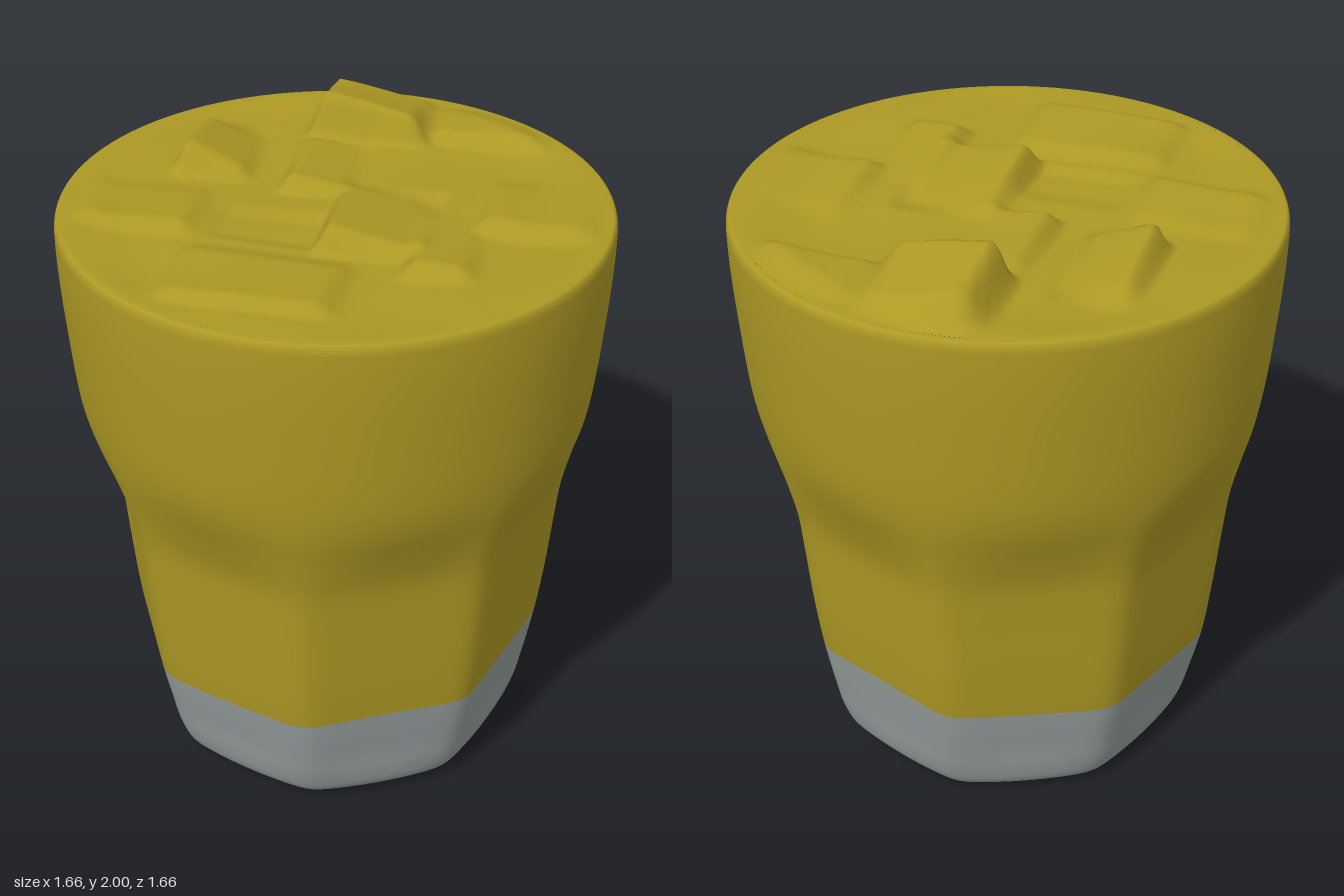
import * as THREE from 'three';

const SEGMENTS = 160;
const SIDES = 8;
const smooth = THREE.MathUtils.smoothstep;

// Closed surface of rings; angle 0 faces +z and grows towards +x
function ringSurface(rows, pointAt) {
  const pos = [], index = [];
  for (let i = 0; i <= rows; i++) {
    for (let j = 0; j < SEGMENTS; j++) pos.push(...pointAt(i, (j / SEGMENTS) * Math.PI * 2));
  }
  for (let i = 0; i < rows; i++) {
    for (let j = 0; j < SEGMENTS; j++) {
      const k = (j + 1) % SEGMENTS;
      const a = i * SEGMENTS + j, b = i * SEGMENTS + k;
      const c = a + SEGMENTS, d = b + SEGMENTS;
      index.push(a, b, d, a, d, c);
    }
  }
  const geo = new THREE.BufferGeometry();
  geo.setAttribute('position', new THREE.Float32BufferAttribute(pos, 3));
  geo.setIndex(index);
  geo.computeVertexNormals();
  return geo;
}

// Radius factor of a softly rounded octagon, 1 at its corners
function facet(angle) {
  const p = 40;
  let sum = 0;
  for (let i = 0; i < SIDES; i++) {
    const a = angle - THREE.MathUtils.degToRad(26.5 + i * 45);
    sum += Math.max(0, Math.cos(a)) ** p;
  }
  return 0.94 * sum ** (-1 / p);
}

// Ice cubes: x0, x1, z0, z1, height, slope in x, slope in z (from x0 and z1)
const cubes = [
  [-0.17, 0.17, -0.86, -0.455, 0.15, -0.19, 0.2],
  [-0.52, -0.30, -0.46, -0.12, 0.105, -0.35, 0.15],
  [-0.18, 0.02, -0.42, -0.07, 0.06, -0.2, 0.1],
  [0.01, 0.31, -0.12, 0.28, 0.085, -0.2, 0.15],
  [0.28, 0.46, 0.0, 0.39, 0.05, -0.1, 0.1],
  [0.44, 0.80, -0.25, 0.075, 0.045, -0.05, 0.1],
  [-0.75, -0.38, 0.0, 0.27, 0.03, 0, 0.06],
  [-0.36, 0.12, 0.36, 0.66, 0.03, 0, 0.02],
  [0.2, 0.55, -0.74, -0.5, 0.035, 0, 0.05],
  [-0.32, 0.0, 0.08, 0.26, -0.015, 0, 0],
];

function iceHeight(x, z) {
  let h = 0;
  for (const [x0, x1, z0, z1, top, sx, sz] of cubes) {
    const e = 0.035;
    const mask = smooth(x, x0 - e, x0 + e) * (1 - smooth(x, x1 - e, x1 + e))
      * smooth(z, z0 - 0.05, z0 + 0.05) * (1 - smooth(z, z1 - e, z1 + e));
    h += mask * (top + sx * (x - x0) + sz * (z - z1));
  }
  const ripple = 0.008 * Math.sin(7 * x + 3 * z) * Math.cos(8 * z - 2 * x + 0.6);
  const r = Math.hypot(x, z);
  return (h + ripple) * (1 - smooth(r, 0.7, 0.81));
}

export function createModel() {
  const amber = new THREE.MeshStandardMaterial({ color: 0xac9824 });
  amber.name = 'amber drink';
  const grey = new THREE.MeshStandardMaterial({ color: 0x939c9a });
  grey.name = 'grey glass';

  const model = new THREE.Group();
  model.name = 'tumbler';

  // Glass wall profile: radius, height
  const profile = [
    [0, 0.01], [0.3, 0.008], [0.48, 0.003], [0.54, 0.012], [0.585, 0.05], [0.615, 0.12],
    [0.638, 0.22], [0.672, 0.4], [0.693, 0.58], [0.712, 0.8], [0.727, 0.95],
    [0.752, 1.07], [0.782, 1.2], [0.802, 1.34], [0.817, 1.52], [0.828, 1.7],
    [0.83, 1.82], [0.828, 1.855], [0.82, 1.87], [0.805, 1.873],
  ];
  const steps = 6;
  const rows = (profile.length - 1) * steps;
  const points = new THREE.CatmullRomCurve3(profile.map(([r, y]) => new THREE.Vector3(r, y, 0))).getPoints(rows);

  const wall = ringSurface(rows, (i, a) => {
    const { x: r, y } = points[i];
    // Facets fade into a round rim; the colour line is slightly uneven
    const amount = (1 - smooth(y, 0.88, 1.32)) * (0.6 + 0.4 * smooth(y, 0, 0.25));
    const radius = r * (1 + amount * (facet(a) - 1));
    const wave = 0.018 * Math.cos(a - 2) + 0.004 * Math.sin(5 * a);
    const height = y + wave * Math.exp(-(((y - 0.4) / 0.15) ** 2));
    return [radius * Math.sin(a), Math.max(0, height), radius * Math.cos(a)];
  });
  const split = 7 * steps * SEGMENTS * 6;
  wall.addGroup(0, split, 0);
  wall.addGroup(split, wall.index.count - split, 1);
  const glass = new THREE.Mesh(wall, [grey, amber]);
  glass.name = 'facetedGlass';
  model.add(glass);

  // Drink surface with ice cubes poking through
  const iceRows = 70;
  const surface = ringSurface(iceRows, (i, a) => {
    const r = 0.805 * (1 - i / iceRows);
    const x = r * Math.sin(a), z = r * Math.cos(a);
    return [x, 1.873 - 0.012 * (1 - smooth(r, 0.6, 0.8)) + iceHeight(x, z), z];
  });
  const ice = new THREE.Mesh(surface, amber);
  ice.name = 'icySurface';
  model.add(ice);

  return model;
}
